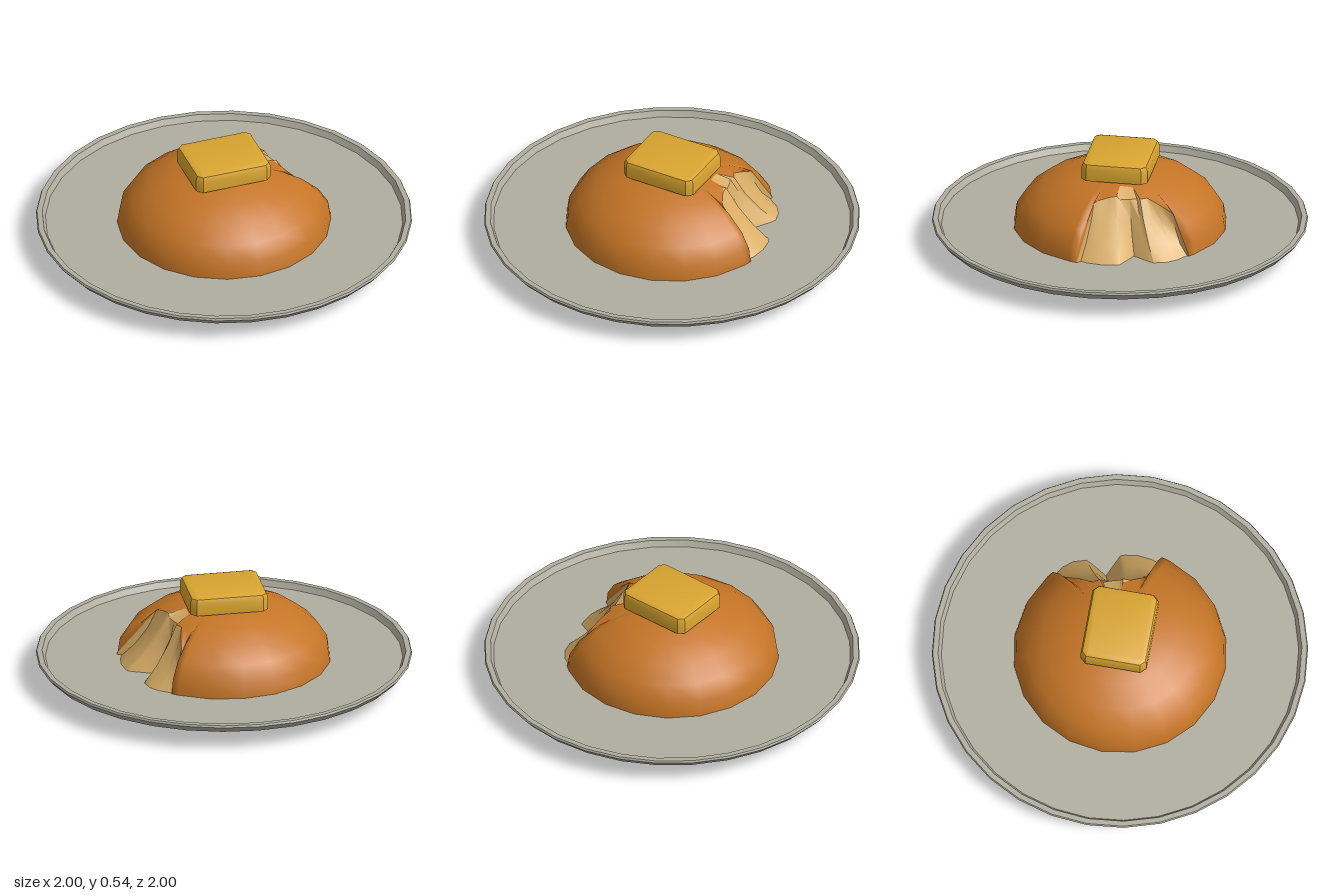
import * as THREE from 'three';
import { toCreasedNormals } from 'three/addons/utils/BufferGeometryUtils.js';

const mat = (name, color) => {
  const m = new THREE.MeshStandardMaterial({ color });
  m.name = name;
  return m;
};

// Surface from columns of [x, y, z] points, each running from top to bottom
function loft(columns, closed) {
  const rows = columns[0].length, n = columns.length, index = [];
  for (let i = 0; i < (closed ? n : n - 1); i++) {
    for (let j = 0; j < rows - 1; j++) {
      const a = i * rows + j, b = ((i + 1) % n) * rows + j;
      index.push(a, b, a + 1, b, b + 1, a + 1);
    }
  }
  const g = new THREE.BufferGeometry();
  g.setAttribute('position', new THREE.Float32BufferAttribute(columns.flat(2), 3));
  g.setIndex(index);
  g.computeVertexNormals();
  return g;
}

export function createModel() {
  const group = new THREE.Group();
  const stoneware = mat('grey stoneware', 0xb0ae9f);
  const crust = mat('brown crust', 0xc57526);
  const crumb = mat('pale crumb', 0xd9ad66);
  const butterYellow = mat('butter yellow', 0xd9a530);
  const add = (name, geometry, material) => {
    const mesh = new THREE.Mesh(geometry, material);
    mesh.name = name;
    group.add(mesh);
  };

  // Plate with a foot, a raised rim and a shallow floor
  const profile = [[0, 0], [0.7, 0], [0.735, 0.032], [0.715, 0.042], [0.59, 0.054], [0.6, 0.062],
    [0.97, 0.1], [1, 0.135], [0.995, 0.146], [0.967, 0.146], [0.95, 0.114], [0, 0.11]]
    .map(([r, y]) => new THREE.Vector2(r, y));
  add('plate', toCreasedNormals(new THREE.LatheGeometry(profile, 32), 0.45), stoneware);

  // Bun dome: half ellipsoid
  const R = 0.57, H = 0.33, Y0 = 0.12, BASE = -0.05;
  const polar = (deg, r, y) => {
    const a = THREE.MathUtils.degToRad(deg);
    return [r * Math.cos(a), y, r * Math.sin(a)];
  };
  const domeY = (r) => Y0 + H * Math.sqrt(Math.max(0, 1 - (r / R) ** 2));

  // Bite columns: angle, radius of the crust edge, radius where the bite meets the plate
  const bite = [[-50, R, R], [-49, 0.45, R], [-42, 0.38, 0.585], [-36, 0.33, 0.585], [-29, 0.33, 0.565],
    [-27, 0.24, 0.54], [-20, 0.225, 0.45], [-10, 0.22, 0.56], [-7, 0.29, 0.565], [0, 0.31, R],
    [8, 0.335, 0.565], [12.5, 0.36, 0.555], [13.5, R, R]];

  // Crust stops at the bite's edge
  const crustColumn = (deg, edge) => {
    const end = edge >= R ? BASE : Math.acos(edge / R);
    return Array.from({ length: 7 }, (_, j) => {
      const e = THREE.MathUtils.lerp(Math.PI / 2, end, j / 6);
      return polar(deg, R * Math.cos(e), Y0 + H * Math.sin(e));
    });
  };
  const columns = bite.map(([deg, edge]) => crustColumn(deg, edge));
  for (let deg = 18; deg <= 306; deg += 18) columns.push(crustColumn(deg, R));
  add('bunCrust', loft(columns, true), crust);

  // Hollow torn face of the bite
  const wall = bite.map(([deg, edge, foot]) => {
    const top = edge >= R ? Y0 : domeY(edge);
    const lip = Math.max(edge, 0.31), lipY = edge < 0.29 ? 0.385 : top;
    const sag = edge >= R ? 0 : 0.025;
    const row = (t) => polar(deg, THREE.MathUtils.lerp(lip, foot, t) - sag, THREE.MathUtils.lerp(lipY, 0.1, t));
    return [polar(deg, edge, top), polar(deg, lip, lipY), row(0.35), row(0.7), polar(deg, foot, 0.1)];
  });
  const wallGeometry = toCreasedNormals(loft(wall, false), 0.6);
  crumb.side = THREE.DoubleSide;
  add('biteCrumb', wallGeometry, crumb);

  // Butter pat: chamfered slab
  const bevel = 0.03, w = 0.21 - bevel, d = 0.178 - bevel, c = 0.012;
  const slab = new THREE.Shape([[-w + c, -d], [w - c, -d], [w, -d + c], [w, d - c],
    [w - c, d], [-w + c, d], [-w, d - c], [-w, -d + c]].map(([x, y]) => new THREE.Vector2(x, y)));
  const butter = new THREE.ExtrudeGeometry(slab,
    { depth: 0.05, bevelSize: bevel, bevelThickness: bevel, bevelSegments: 2 });
  butter.rotateX(-Math.PI / 2);
  butter.translate(0, 0.455, -0.002);
  // Corners of the underside sag onto the dome
  const p = butter.attributes.position;
  for (let i = 0; i < p.count; i++) {
    if (p.getY(i) < 0.46) p.setY(i, Math.min(p.getY(i), 0.437));
  }
  add('butter', toCreasedNormals(butter, 0.6), butterYellow);

  return group;
}
